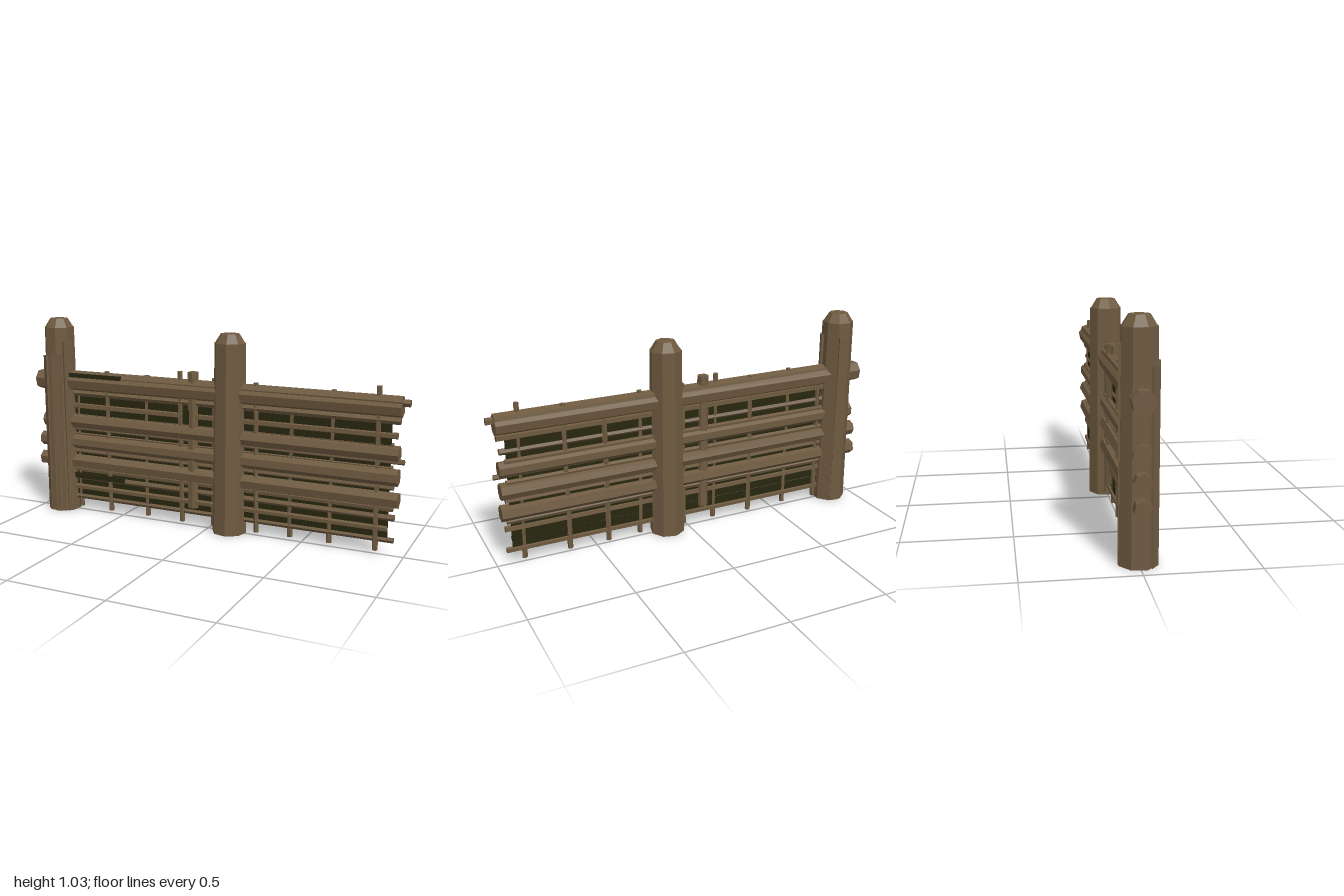
import * as THREE from 'three';

const wood = new THREE.MeshStandardMaterial({ color: 0x6e5a40, flatShading: true });
wood.name = 'weathered wood';
const moss = new THREE.MeshStandardMaterial({ color: 0x27260f, flatShading: true });
moss.name = 'dark moss';

function add(parent, name, geometry, material, x, y, z) {
  const mesh = new THREE.Mesh(geometry, material);
  mesh.name = name;
  mesh.position.set(x, y, z);
  parent.add(mesh);
  return mesh;
}

// Horizontal log between two x positions; r0 at the left end, r1 at the right
function log(parent, name, x0, x1, y, z, r0, r1, sides, turn = 0) {
  const g = new THREE.CylinderGeometry(r0, r1, x1 - x0, sides);
  g.rotateY(turn);
  g.rotateZ(Math.PI / 2);
  return add(parent, name, g, wood, (x0 + x1) / 2, y, z);
}

// Upright stick between two heights
function upright(parent, name, x, y0, y1, z, r, sides, turn = 0) {
  const g = new THREE.CylinderGeometry(r * 0.95, r, y1 - y0, sides);
  g.rotateY(turn);
  return add(parent, name, g, wood, x, (y0 + y1) / 2, z);
}

// Seven or eight sided post with a chamfered top
function post(parent, name, x, height, sides, turn) {
  const group = new THREE.Group();
  group.name = name;
  const shoulder = height - 0.045;
  const body = new THREE.CylinderGeometry(0.079, 0.088, shoulder, sides);
  body.rotateY(turn);
  add(group, 'postBody', body, wood, 0, shoulder / 2, 0);
  const cap = new THREE.CylinderGeometry(0.047, 0.076, 0.045, sides);
  cap.rotateY(turn);
  add(group, 'postCap', cap, wood, 0, shoulder + 0.0225, 0);
  group.position.x = x;
  parent.add(group);
  return group;
}

export function createModel() {
  const fence = new THREE.Group();
  fence.name = 'fence';

  // Posts, the end one with split strips of bark
  const endPost = post(fence, 'endPost', -0.867, 1.035, 8, 0.3);
  post(fence, 'middlePost', 0.117, 1.0, 8, 0.15);
  [[0.3, 0.85], [1.1, 0.92], [3.0, 0.92], [-0.7, 0.84]].forEach(([angle, h]) => {
    const strip = add(endPost, 'barkStrip', new THREE.BoxGeometry(0.05, h, 0.02), wood,
      Math.sin(angle) * 0.074, h / 2, Math.cos(angle) * 0.074);
    strip.rotation.y = angle;
  });

  // Heavy rails
  const rails = new THREE.Group();
  rails.name = 'rails';
  fence.add(rails);
  [
    [-0.995, 0.965, 0.705, 0.052, 0.046, 7, 0.2],
    [-0.965, 0.96, 0.49, 0.041, 0.038, 7, 0.9],
    [-0.99, 0.96, 0.38, 0.039, 0.042, 7, 0.5],
    [-0.995, 0.965, 0.27, 0.04, 0.041, 6, 0.3],
  ].forEach(([x0, x1, y, r0, r1, n, t]) => log(rails, 'rail', x0, x1, y, 0, r0, r1, n, t));
  log(rails, 'topRail', -0.8, 0.965, 0.727, 0, 0.038, 0.036, 6, 0.3);
  log(rails, 'railPeg', 0.94, 1.0, 0.73, 0, 0.018, 0.018, 5);

  // Woven thin sticks
  const sticks = new THREE.Group();
  sticks.name = 'sticks';
  fence.add(sticks);
  [
    [0.645, 0.96, 0.018, 0.0], [0.575, 0.95, 0.016, 0.004], [0.525, 0.93, 0.014, -0.008],
    [0.455, 0.985, 0.013, 0.004], [0.42, 0.93, 0.014, -0.004], [0.33, 0.94, 0.014, 0.0],
    [0.225, 0.94, 0.014, -0.004], [0.185, 0.95, 0.016, 0.0], [0.13, 0.92, 0.014, 0.01],
    [0.075, 0.95, 0.014, -0.002],
  ].forEach(([y, end, r, z], i) =>
    log(sticks, 'thinStick', -0.93 + (i % 3) * 0.03, end, y, z, r * 1.05, r, 5, i * 0.7));

  // Slim uprights threaded through the sticks
  [
    [-0.76, 0.75], [-0.575, 0.77], [-0.35, 0.765], [-0.15, 0.8],
    [0.03, 0.775], [0.26, 0.77], [0.64, 0.765], [0.86, 0.8], [0.44, 0.75],
  ].forEach(([x, top], i) => {
    const stake = upright(sticks, 'stake', x, 0.018, top, i % 2 ? 0.004 : -0.004, 0.014, 5, i);
    stake.rotation.z = i % 2 ? 0.012 : -0.006;
  });

  // Stout stake beside the middle post
  upright(fence, 'stoutStake', -0.083, 0.1, 0.8, 0, 0.03, 6, 0.3);

  // Dark infill behind the sticks
  add(fence, 'mossInfill', new THREE.BoxGeometry(1.7, 0.61, 0.008), moss, 0.07, 0.375, 0);
  add(fence, 'upperMossStrip', new THREE.BoxGeometry(0.32, 0.022, 0.009), moss, -0.64, 0.742, 0.034);
  add(fence, 'lowerMossStrip', new THREE.BoxGeometry(0.32, 0.028, 0.009), moss, -0.64, 0.195, 0.018);
  add(fence, 'mossPatch', new THREE.BoxGeometry(0.035, 0.07, 0.009), moss, -0.112, 0.575, 0.022);
  return fence;
}
